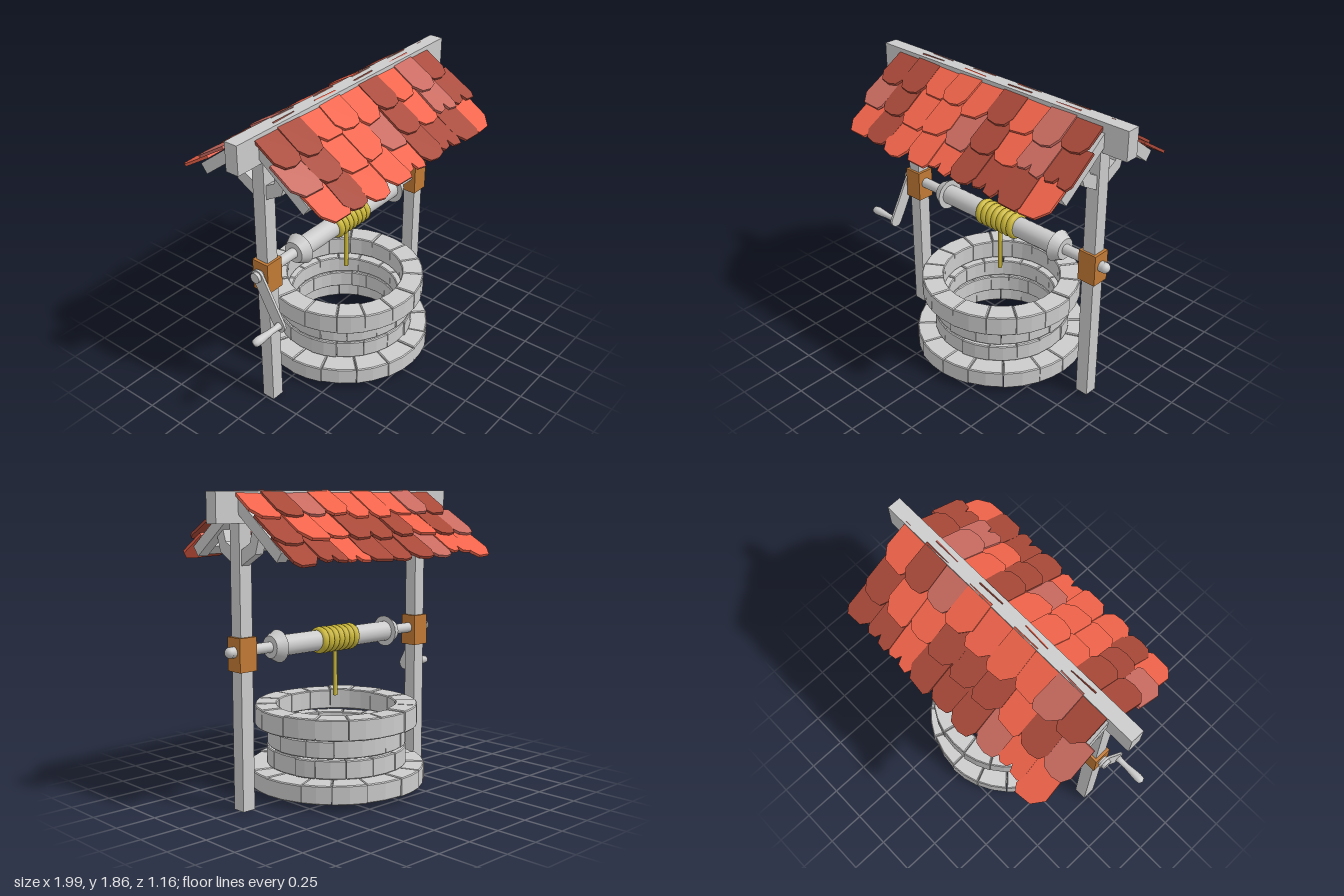
import * as THREE from 'three';

const mat = (color, flatShading = true) => new THREE.MeshStandardMaterial({ color, flatShading });
const GREY = mat(0xcccccc), SMOOTH = mat(0xcccccc, false);
const WOOD = mat(0xc17a35), ROPE = mat(0xcdb93a, false);
const TILES = [0xf0634a, 0xa84838, 0xc96a60, 0xf0634a, 0xa84838].map(c => mat(c));
const AXIS_Z = 0.012, AXLE_Y = 0.945, POSTS = [-0.695, 0.78];

let seed = 7;
const rnd = () => (seed = (seed * 16807) % 2147483647) / 2147483647;
const jitter = a => (rnd() - 0.5) * 2 * a;

function add(parent, name, geo, material, x = 0, y = 0, z = 0) {
  const m = new THREE.Mesh(geo, material);
  m.name = name;
  m.position.set(x, y, z);
  parent.add(m);
  return m;
}
const box = (w, h, d) => new THREE.BoxGeometry(w, h, d);
const shapeOf = pts => new THREE.Shape(pts.map(p => new THREE.Vector2(p[0], p[1])));

// Cylinder along x; r0 is the radius at the -x end
const rod = (r0, r1, len, sides = 20) => new THREE.CylinderGeometry(r0, r1, len, sides).rotateZ(Math.PI / 2);

// Plate cut from a (z, y) outline, centred on x = 0
function plate(shape, width) {
  return new THREE.ExtrudeGeometry(shape, { depth: width, bevelEnabled: false, curveSegments: 8 })
    .translate(0, 0, -width / 2).rotateY(-Math.PI / 2);
}

// One wedge-shaped stone of a ring, with softened edges
function stone(ri, ro, a0, a1, h) {
  const b = 0.006, pts = [], am = (a0 + a1) / 2;
  const at = (r, a) => pts.push([Math.cos(a) * r, Math.sin(a) * r]);
  const go = b / ro + 0.003, gi = b / ri + 0.003;
  at(ro - b, a0 + go); at(ro - b, am); at(ro - b, a1 - go);
  at(ri + b, a1 - gi); at(ri + b, am); at(ri + b, a0 + gi);
  return new THREE.ExtrudeGeometry(shapeOf(pts), {
    depth: h - 2 * b, bevelThickness: b, bevelSize: b, bevelSegments: 1,
  }).translate(0, 0, b).rotateX(-Math.PI / 2);
}

function wellWall() {
  const g = new THREE.Group();
  g.name = 'stoneWall';
  g.position.set(0.048, 0, 0);
  const rings = [[0.4, 0.555, 0.04, 0.115], [0.345, 0.44, 0.16, 0.115],
    [0.345, 0.44, 0.285, 0.11], [0.375, 0.51, 0.41, 0.13]];
  rings.forEach(([ri, ro, y, h], k) => {
    const n = 16, step = Math.PI * 2 / n;
    const cuts = Array.from({ length: n }, (_, i) => (i + k * 0.45) * step + jitter(0.05));
    cuts.push(cuts[0] + Math.PI * 2);
    for (let i = 0; i < n; i++)
      add(g, 'wallStone', stone(ri, ro + jitter(0.005), cuts[i], cuts[i + 1], h + jitter(0.005)), GREY, 0, y, 0);
  });
  return g;
}

// Tile outlines: unit width, running down from y = 0 to y = -1
const OUTLINES = [
  [[-0.47, 0], [-0.5, -0.75], [-0.3, -0.95], [0.05, -1], [0.35, -0.95], [0.5, -0.75], [0.47, 0]],
  [[-0.47, 0], [-0.5, -0.85], [-0.35, -1], [0.2, -0.97], [0.5, -0.72], [0.47, 0]],
  [[-0.47, 0], [-0.5, -0.8], [-0.35, -0.93], [-0.1, -0.9], [0.0, -0.76], [0.08, -0.94], [0.4, -0.98], [0.5, -0.85], [0.47, 0]],
  [[-0.47, 0], [-0.5, -0.7], [-0.25, -0.97], [0.4, -1], [0.5, -0.9], [0.47, 0]],
];

function tile(kind, w, len) {
  return new THREE.ExtrudeGeometry(shapeOf(OUTLINES[kind].map(p => [p[0] * w, p[1] * len])),
    { depth: 0.017, bevelEnabled: false });
}

// One roof side: local x along the ridge, -y down the slope, +z outward
function roofSide(name, flip) {
  const side = new THREE.Group(), slope = new THREE.Group();
  side.name = name;
  side.rotation.y = flip ? Math.PI : 0;
  side.position.set(0, 1.845, flip ? -0.02 : 0.0);
  slope.rotation.x = -0.915;
  side.add(slope);
  const s = flip ? -1 : 1;

  const rows = flip ? [[-0.85, 0.74], [-0.84, 0.8], [-0.84, 0.77]] : [[-0.78, 0.82], [-0.8, 0.86], [-0.76, 0.84]];
  rows.forEach(([x0, x1], r) => {
    const n = 9, w = (x1 - x0) / n;
    for (let i = 0; i < n; i++) {
      const kind = r === 0 ? [0, 1, 3][Math.floor(rnd() * 3)] : Math.floor(rnd() * 4);
      const t = add(slope, 'roofTile', tile(kind, w * 1.07, 0.27 + jitter(0.02)),
        TILES[Math.floor(rnd() * TILES.length)],
        x0 + w * (i + 0.5), [0, -0.2, -0.395][r] + (r ? jitter(0.008) : 0), (i % 2) * 0.007 - 0.004);
      t.rotation.set(-0.1 + jitter(0.02), jitter(0.03), jitter(0.04));
    }
  });

  // Rafters at both ends and the board joining them
  for (const x of [-0.72, 0.8]) add(slope, 'rafter', box(0.07, 0.47, 0.07), GREY, x * s, -0.265, -0.045);
  add(slope, 'eavesBoard', box(1.52, 0.08, 0.055), GREY, 0.04 * s, -0.455, -0.045);
  return side;
}

function frame() {
  const g = new THREE.Group();
  g.name = 'frame';
  add(g, 'ridgeBeam', box(1.91, 0.18, 0.088), GREY, 0.035, 1.768, 0.002);
  const outline = [[0.04, 1.44], [0.165, 1.51], [0.215, 1.66], [0.15, 1.68], [0.115, 1.57], [0.04, 1.53]];
  for (const x of POSTS) {
    add(g, 'post', box(0.085, 1.7, 0.085), GREY, x, 0.85, AXIS_Z);
    add(g, 'postBracket', box(0.122, 0.2, 0.115), WOOD, x, 0.93, AXIS_Z);
    for (const s of [1, -1])
      add(g, 'rafterBrace', plate(shapeOf(outline.map(([z, y]) => [z * s, y])), 0.055), GREY, x, 0, s < 0 ? 0.01 : 0);
  }
  return g;
}

function winch() {
  const g = new THREE.Group();
  g.name = 'winch';
  g.position.set(0, AXLE_Y, AXIS_Z);
  add(g, 'axle', rod(0.033, 0.033, 1.67), SMOOTH, 0.03);
  add(g, 'axleCap', new THREE.SphereGeometry(0.033, 16, 10), SMOOTH, 0.868);
  add(g, 'drum', rod(0.064, 0.064, 0.92), SMOOTH, 0.055);
  add(g, 'drumFlange', rod(0.068, 0.1, 0.063), SMOOTH, -0.433);
  add(g, 'drumFlange', rod(0.1, 0.068, 0.063), SMOOTH, 0.543);

  // Coiled and hanging rope
  for (let i = 0; i < 7; i++) {
    const coil = add(g, 'ropeCoil', new THREE.TorusGeometry(0.058, 0.026, 10, 24).rotateY(Math.PI / 2), ROPE,
      -0.078 + i * 0.043);
    coil.rotation.z = 0.08;
  }
  add(g, 'hangingRope', new THREE.CylinderGeometry(0.014, 0.014, 0.31, 10), ROPE, 0.045, -0.21);

  // Crank arm and handle
  const end = new THREE.Vector2(0.155, -0.28), phi = end.angle();
  const arm = new THREE.Shape();
  arm.absarc(end.x, end.y, 0.043, phi - Math.PI / 2, phi + Math.PI / 2);
  arm.absarc(0, 0, 0.043, phi + Math.PI / 2, phi + Math.PI * 1.5);
  add(g, 'crankArm', plate(arm, 0.016), GREY, -0.776);
  const profile = [[0, 0], [0.026, 0], [0.019, 0.03], [0.019, 0.08], [0.024, 0.13], [0.028, 0.18], [0.024, 0.21], [0, 0.222]];
  add(g, 'crankHandle', new THREE.LatheGeometry(profile.map(p => new THREE.Vector2(...p)), 16).rotateZ(Math.PI / 2),
    SMOOTH, -0.778, end.y, end.x);
  return g;
}

export function createModel() {
  const model = new THREE.Group();
  model.name = 'well';
  model.add(wellWall(), frame(), winch(), roofSide('frontRoof', false), roofSide('backRoof', true));
  return model;
}
